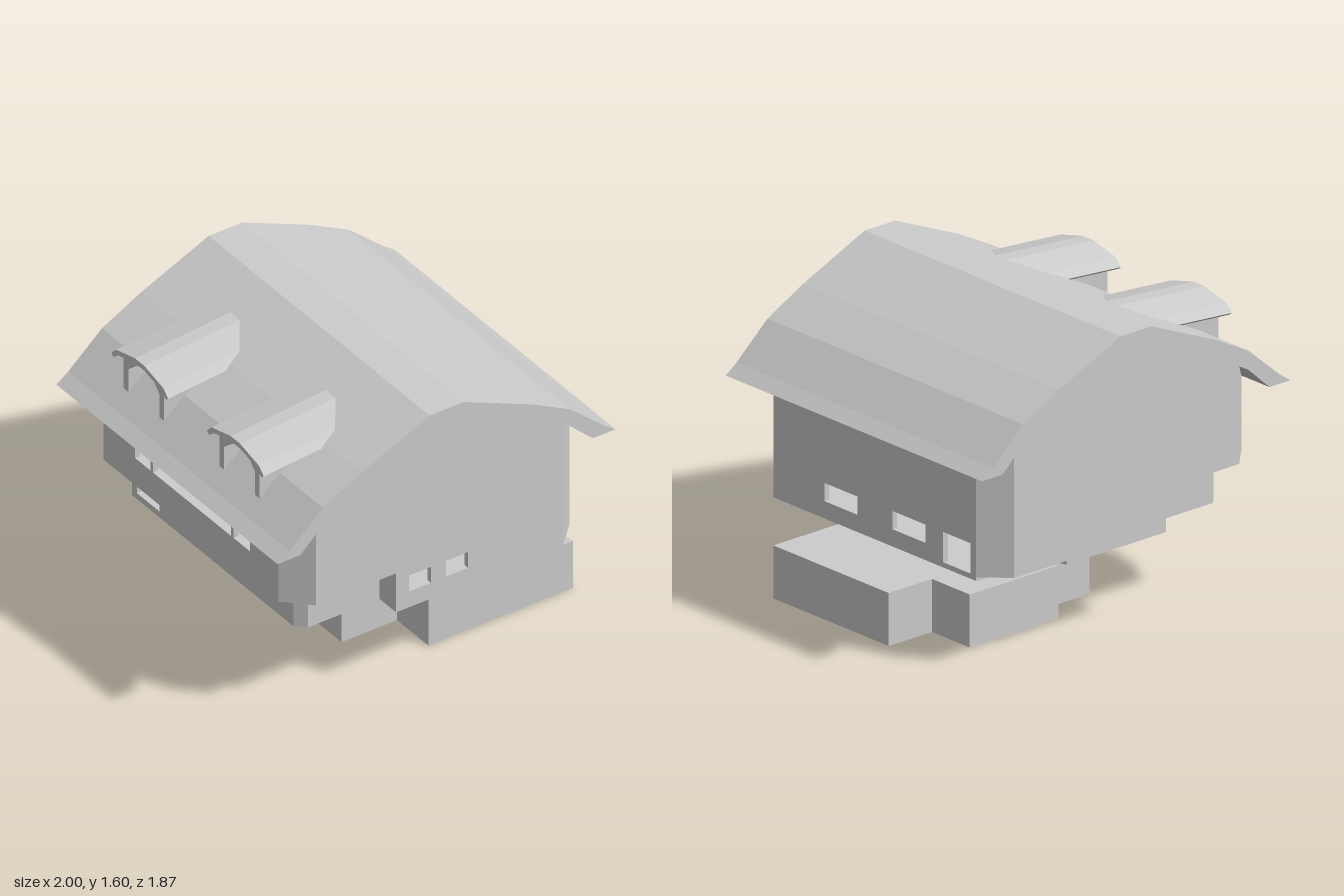
import * as THREE from 'three';

const grey = new THREE.MeshStandardMaterial({ color: 0xcccccc, flatShading: true, side: THREE.DoubleSide });
const T = 0.03; // wall thickness

const toShape = (pts) => new THREE.Shape(pts.map(([x, y]) => new THREE.Vector2(x, y)));
const rect = (u0, u1, y0, y1) => [[u0, y0], [u1, y0], [u1, y1], [u0, y1]];
const mirrored = (half) => [...half, ...half.map(([x, y]) => [-x, y]).reverse()];

function extrude(pts, depth, holes = []) {
  const shape = toShape(pts);
  for (const h of holes) shape.holes.push(toShape(h));
  return new THREE.ExtrudeGeometry(shape, { depth, bevelEnabled: false });
}

function add(group, name, geometry) {
  const mesh = new THREE.Mesh(geometry, grey);
  mesh.name = name;
  group.add(mesh);
  return mesh;
}

// Horizontal slab from an [x, z] outline
function slab(group, name, pts, y0, y1, holes = []) {
  const flip = (l) => l.map(([x, z]) => [x, -z]);
  const g = extrude(flip(pts), y1 - y0, holes.map(flip));
  add(group, name, g.rotateX(-Math.PI / 2).translate(0, y0, 0));
}

// Upright wall from a to b ([x, z], left to right seen from outside); outline in [distance, y]
function wall(group, name, a, b, outline, holes) {
  const m = add(group, name, extrude(outline, T, holes).translate(0, 0, -T));
  m.position.set(a[0], 0, a[1]);
  m.rotation.y = Math.atan2(a[1] - b[1], b[0] - a[0]);
}

const span = (a, b) => Math.hypot(b[0] - a[0], b[1] - a[1]);

// Arched dormer on the left-hand slope
function dormer(zc) {
  const g = new THREE.Group();
  g.name = 'dormer';
  const along = (geo, x0) => geo.rotateY(Math.PI / 2).translate(x0, 0, 0);

  const frame = mirrored([[-0.17, 1.15], [-0.17, 1.405], [-0.04, 1.445]]);
  const opening = mirrored([[-0.13, 1.17], [-0.13, 1.34], [-0.09, 1.385], [-0.03, 1.41]]);
  add(g, 'dormerWalls', along(extrude(frame, 0.4, [opening]), -0.85));

  const top = mirrored([[-0.24, 1.385], [-0.2, 1.425], [-0.04, 1.465]]);
  const under = mirrored([[-0.22, 1.37], [-0.18, 1.402], [-0.04, 1.437]]).reverse();
  const roof = along(extrude([...top, ...under], 0.575), -0.875);
  const p = roof.attributes.position;
  for (let i = 0; i < p.count; i++) p.setY(i, p.getY(i) + 0.083 * (p.getX(i) + 0.875));
  roof.computeVertexNormals();
  add(g, 'dormerRoof', roof);
  g.position.z = zc;
  return g;
}

export function createModel() {
  const model = new THREE.Group();
  model.name = 'house';

  // Curved roof
  const outer = mirrored([[-1, 1.085], [-0.93, 1.135], [-0.73, 1.31], [-0.5, 1.43], [-0.1, 1.603]]);
  const inner = mirrored([[-0.865, 1.085], [-0.73, 1.21], [-0.5, 1.34], [-0.25, 1.44], [-0.1, 1.475]]).reverse();
  add(model, 'roof', extrude([...outer, ...inner], 1.865).translate(0, 0, -0.934));
  model.add(dormer(-0.41), dormer(0.397));

  // Gable walls, stepped up on the overhanging side
  const W = 0.73, F = 0.87, B = -0.865, X = 0.86;
  const arch = [[0.73, 1.23], [0.5, 1.36], [0.25, 1.46], [0.1, 1.495], [-0.1, 1.495], [-0.25, 1.46], [-0.5, 1.36], [-0.73, 1.23]];
  const gable = [[-W, 0.7], [-0.255, 0.7], [-0.255, 0.48], [W, 0.48], ...arch];
  wall(model, 'frontGable', [-W, F], [W, F], gable.map(([x, y]) => [x + W, y]),
    [[-0.18, -0.05], [0.04, 0.17]].map(([l, r]) => rect(l + W, r + W, 0.563, 0.657)));
  wall(model, 'backGable', [W, B], [-W, B],
    gable.map(([x, y]) => [W - x, y === 0.48 ? 0.49 : y]).reverse());

  // Slanted corner walls
  const corner = (a, b, y0, hA, hB) => {
    const d = span(a, b);
    wall(model, 'cornerWall', a, b, [[0, y0], [d, y0], [d, hB], [0, hA]]);
  };
  corner([W, F], [X, 0.74], 0.48, 1.23, 1.1);
  corner([X, -0.735], [W, B], 0.49, 1.1, 1.23);
  corner([-W, B], [-X, -0.735], 0.7, 1.23, 1.1);
  corner([-X, 0.74], [-W, F], 0.7, 1.1, 1.23);

  // Long side walls with window openings
  wall(model, 'rightWall', [X, 0.74], [X, -0.735], rect(0, 1.475, 0.48, 1.1),
    [[0.37, 0.13, 0.56], [-0.125, -0.365, 0.56], [-0.495, -0.695, 0.497]]
      .map(([l, r, y]) => rect(0.74 - l, 0.74 - r, y, 0.655)));
  wall(model, 'leftWall', [-X, -0.735], [-X, 0.74], rect(0, 1.475, 0.7, 1.1),
    [[-0.47, -0.34], [-0.32, 0.34], [0.36, 0.5]].map(([l, r]) => rect(l + 0.735, r + 0.735, 0.86, 1.05)));

  // Recessed lower wall beneath the overhang
  const recess = [[-0.255, B], [-0.255, -W], [-0.68, -W], [-W, -0.68], [-W, 0.68], [-0.68, W], [-0.255, W], [-0.255, F]];
  for (let i = 0; i < recess.length - 1; i++) {
    const a = recess[i], b = recess[i + 1];
    const holes = i === 3 ? [rect(0.04, 0.23, 0.505, 0.655)] : [];
    wall(model, 'recessedWall', a, b, rect(0, span(a, b), 0.48, 0.71), holes);
  }

  // Floors
  const rightEdge = [[W, F], [X, 0.74], [X, -0.735]];
  slab(model, 'floor', [...recess, ...rightEdge, [W, B]], 0.49, 0.496);
  slab(model, 'floorUnderside', [...recess, ...rightEdge, [0.42, -0.75], [0.39, B]], 0.47, 0.49);
  slab(model, 'overhangFloor',
    [[-0.255, B], [-W, B], [-X, -0.735], [-X, 0.74], [-W, F], [-0.255, F]], 0.7, 0.72);

  // Narrow stem with an open shaft, and the low basement block
  slab(model, 'stem', [[-0.228, -0.34], [0.105, -0.34], [0.105, -0.195], [0.24, -0.195], [0.24, 0.2],
    [0.105, 0.2], [0.105, 0.37], [-0.228, 0.37]], 0, 0.47, [rect(-0.2, 0.09, -0.05, 0.34)]);
  slab(model, 'basement', [[0.1, -0.48], [0.675, -0.48], [0.675, -0.205], [0.955, -0.205],
    [0.955, 0.635], [0.1, 0.635]], 0, 0.276);

  return model;
}
